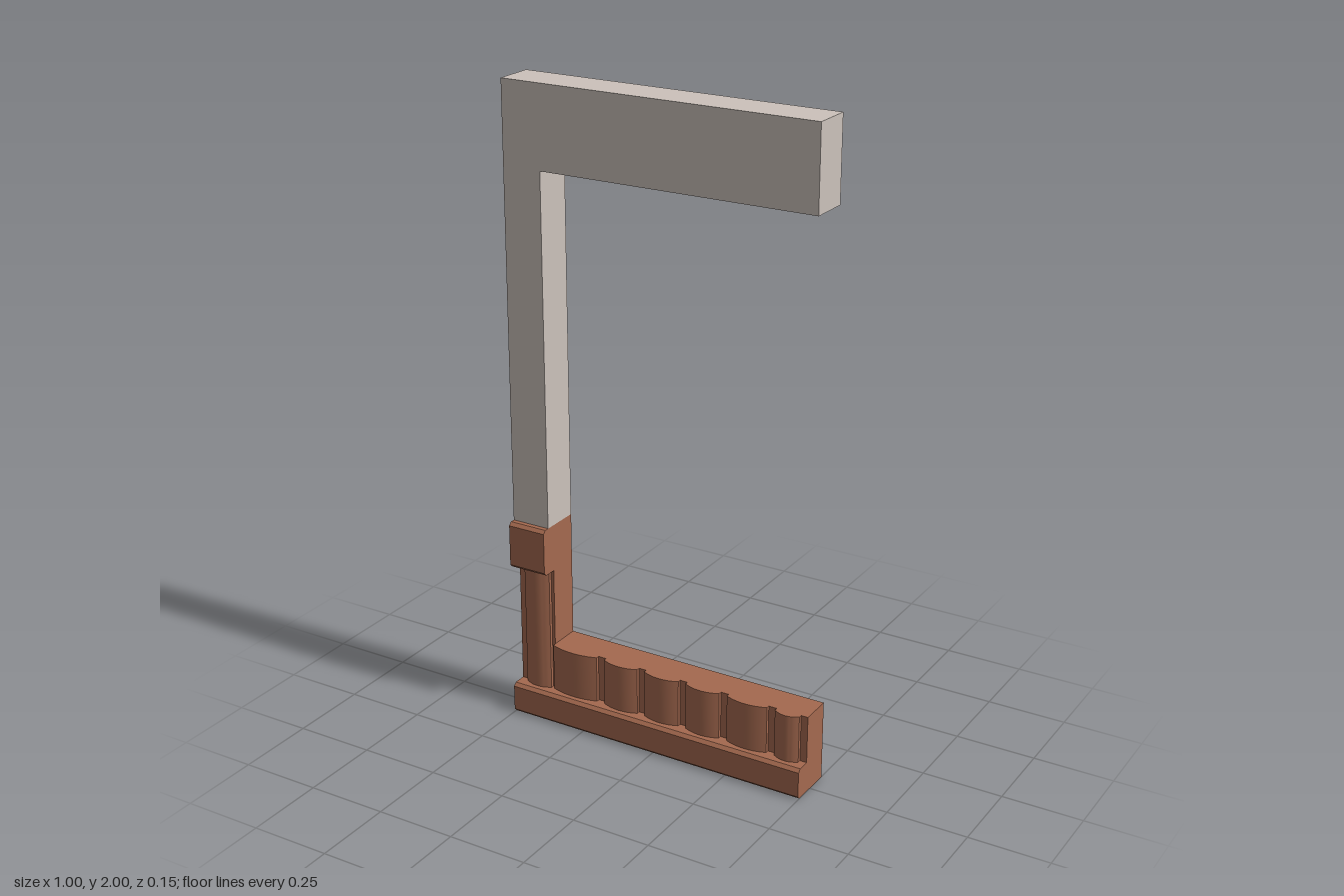
import * as THREE from 'three';
import { toCreasedNormals } from 'three/addons/utils/BufferGeometryUtils.js';

const BACK = -0.075, PLATE = 0.025, FACE = 0.05, LIP = 0.075;

export function createModel() {
  const plaster = new THREE.MeshStandardMaterial({ color: 0xccc2bb, side: THREE.DoubleSide });
  plaster.name = 'plaster';
  const brick = new THREE.MeshStandardMaterial({ color: 0xa4694f, side: THREE.DoubleSide });
  brick.name = 'brick';

  const model = new THREE.Group();
  model.name = 'wallFrame';
  const add = (name, geometry, material, parent) => {
    const mesh = new THREE.Mesh(geometry, material);
    mesh.name = name;
    parent.add(mesh);
    return mesh;
  };

  // Thin walls following an open clockwise outline, from the back to the front plate
  const walls = (points, front) => {
    const pos = [];
    for (let i = 0; i < points.length - 1; i++) {
      const [ax, ay] = points[i], [bx, by] = points[i + 1];
      pos.push(ax, ay, BACK, ax, ay, front, bx, by, front);
      pos.push(ax, ay, BACK, bx, by, front, bx, by, BACK);
    }
    const g = new THREE.BufferGeometry();
    g.setAttribute('position', new THREE.Float32BufferAttribute(pos, 3));
    g.computeVertexNormals();
    return g;
  };

  // Hollow shell, open at the back
  const shell = (name, points, front, material) => {
    const group = new THREE.Group();
    group.name = name;
    const shape = new THREE.Shape(points.map(([x, y]) => new THREE.Vector2(x, y)));
    add('frontPlate', new THREE.ShapeGeometry(shape).translate(0, 0, front), material, group);
    add('edgeWalls', walls(points, front), material, group);
    model.add(group);
    return group;
  };

  shell('upperFrame', [[-0.5, 0.65], [-0.5, 2], [0.5, 2], [0.5, 1.75], [-0.375, 1.75], [-0.375, 0.65]], FACE, plaster);
  const base = shell('lowerFrame', [[-0.375, 0.65], [-0.375, 0.25], [0.5, 0.25], [0.5, 0], [-0.5, 0], [-0.5, 0.65]], PLATE, brick);

  // Rounded upright stones: a shallow arc between two short sides
  const stone = (x0, x1, top) => {
    const edge = 0.036, s = new THREE.Shape();
    s.moveTo(x0, -PLATE);
    s.lineTo(x1, -PLATE);
    s.lineTo(x1, -edge);
    for (let i = 1; i <= 12; i++) {
      const t = i / 12;
      s.lineTo(x1 + (x0 - x1) * t, -(edge + (FACE - edge) * 4 * t * (1 - t)));
    }
    const g = new THREE.ExtrudeGeometry(s, { depth: top - 0.1, bevelEnabled: false });
    g.rotateX(-Math.PI / 2).translate(0, 0.1, 0);
    add('stone', toCreasedNormals(g, 0.5), brick, base);
  };
  stone(-0.475, -0.385, 0.5);
  [[-0.375, -0.217], [-0.19, -0.072], [-0.047, 0.072], [0.097, 0.212], [0.238, 0.372], [0.398, 0.478]]
    .forEach(([a, b]) => stone(a, b, 0.25));

  // Chamfered ledges running along x
  const ledge = (name, x0, x1, y0, y1) => {
    const c = 0.01;
    const profile = [[PLATE, y0], [LIP - c, y0], [LIP, y0 + c], [LIP, y1 - c], [LIP - c, y1], [PLATE, y1]];
    const s = new THREE.Shape(profile.map(([z, y]) => new THREE.Vector2(-z, y)));
    const g = new THREE.ExtrudeGeometry(s, { depth: x1 - x0, bevelEnabled: false });
    add(name, g.rotateY(Math.PI / 2).translate(x0, 0, 0), brick, base);
  };
  ledge('bottomLedge', -0.5, 0.5, 0, 0.1);
  ledge('postCap', -0.5, -0.375, 0.5, 0.65);

  return model;
}
